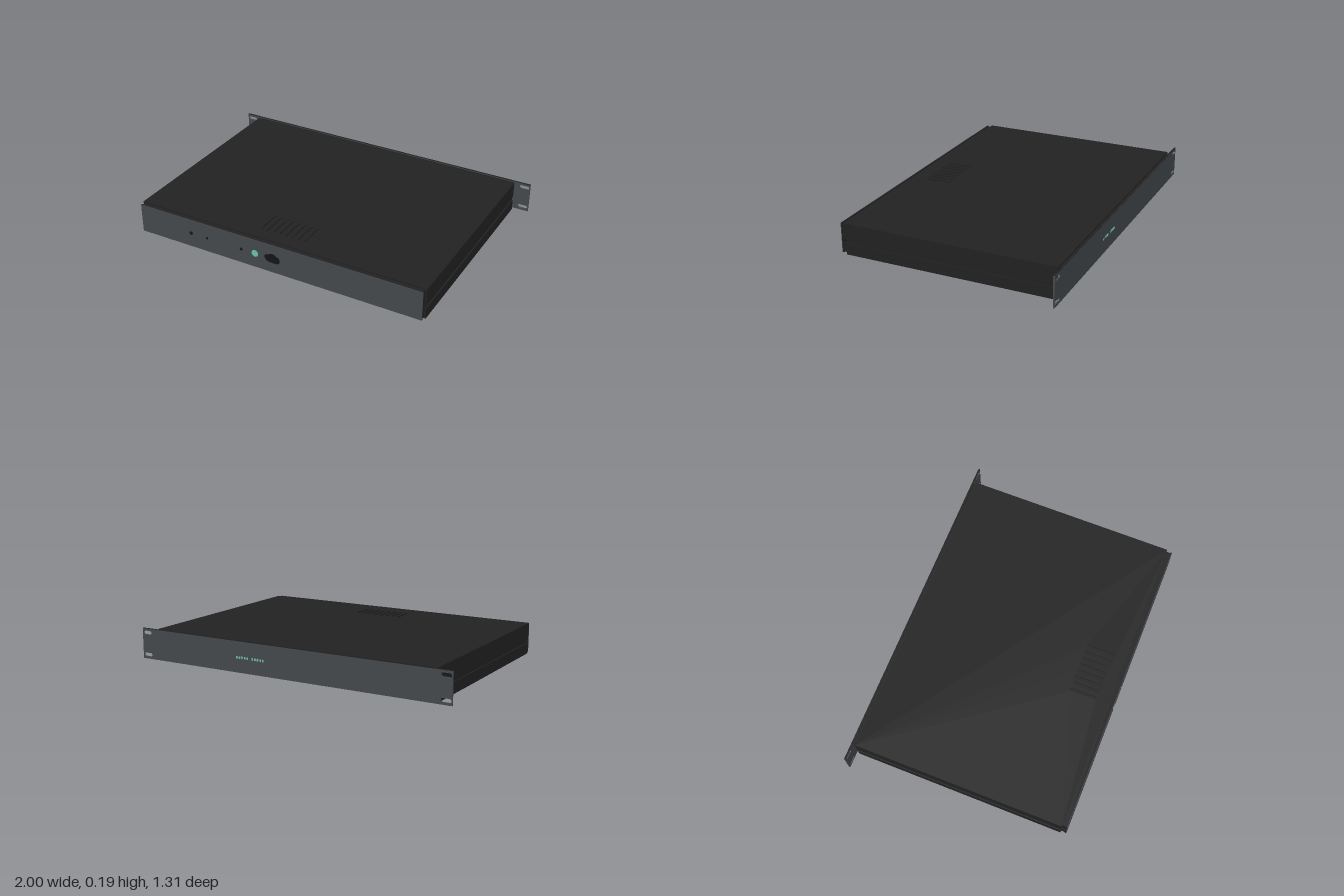
import * as THREE from 'three';

const paint = (name, color) => {
  const m = new THREE.MeshStandardMaterial({ color });
  m.name = name;
  return m;
};

// Rounded slot outline, centred on (cx, cy)
function slot(cx, cy, w, h, P = THREE.Path) {
  const r = Math.min(w, h) / 2, p = new P();
  if (w >= h) {
    const d = w / 2 - r;
    p.absarc(cx + d, cy, r, -Math.PI / 2, Math.PI / 2);
    p.absarc(cx - d, cy, r, Math.PI / 2, Math.PI * 1.5);
  } else {
    const d = h / 2 - r;
    p.absarc(cx, cy + d, r, 0, Math.PI);
    p.absarc(cx, cy - d, r, Math.PI, Math.PI * 2);
  }
  p.closePath();
  return p;
}

function rect(x0, y0, x1, y1) {
  return new THREE.Shape([[x0, y0], [x1, y0], [x1, y1], [x0, y1]].map(p => new THREE.Vector2(...p)));
}

const extrude = (shape, depth) =>
  new THREE.ExtrudeGeometry(shape, { depth, bevelEnabled: false, curveSegments: 8 });

export function createModel() {
  const black = paint('black steel', 0x222222);
  const grey = paint('grey panel', 0x464a4e);
  const teal = paint('teal print', 0x6cc4ae);
  const dark = paint('dark recess', 0x151515);

  const root = new THREE.Group();
  root.name = 'rackCase';
  const add = (name, geo, mat, x = 0, y = 0, z = 0) => {
    const mesh = new THREE.Mesh(geo, mat);
    mesh.name = name;
    mesh.position.set(x, y, z);
    root.add(mesh);
    return mesh;
  };
  // Box given by its limits
  const box = (name, mat, x0, x1, y0, y1, z0, z1) =>
    add(name, new THREE.BoxGeometry(x1 - x0, y1 - y0, z1 - z0), mat,
      (x0 + x1) / 2, (y0 + y1) / 2, (z0 + z1) / 2);

  // Lid with a bank of vent slots near the front
  const lid = rect(-0.905, -0.632, 0.905, 0.622);
  for (let i = 0; i < 8; i++) lid.holes.push(slot(-0.14 + i * 0.04, 0.465, 0.02, 0.16));
  add('lid', extrude(lid, 0.008).rotateX(Math.PI / 2), black, 0, 0.185, 0);

  // Floor
  box('floor', black, -0.905, 0.905, 0, 0.008, -0.632, 0.622);

  for (const s of [-1, 1]) {
    const side = (name, xa, xb, y0, y1, z0, z1) =>
      box(name, black, Math.min(s * xa, s * xb), Math.max(s * xa, s * xb), y0, y1, z0, z1);
    // Overlapping skirts of the lid and the base, with a groove between
    side('lidSkirt', 0.896, 0.905, 0.088, 0.177, -0.632, 0.622);
    side('baseSkirt', 0.896, 0.905, 0.008, 0.065, -0.632, 0.622);
    side('innerSideWall', 0.89, 0.897, 0.008, 0.177, -0.632, 0.622);
    // Folded flanges that carry the front and back panels
    for (const [z0, z1] of [[0.6, 0.646], [-0.646, -0.6]]) {
      side('cornerFlangeUpper', 0.885, 0.895, 0.086, 0.176, z0, z1);
      side('cornerFlangeLower', 0.885, 0.895, 0.012, 0.066, z0, z1);
    }
  }
  for (const [z0, z1] of [[0.6, 0.646], [-0.646, -0.6]]) {
    box('upperFlange', black, -0.895, 0.895, 0.17, 0.177, z0, z1);
    box('lowerFlange', black, -0.895, 0.895, 0.009, 0.016, z0, z1);
  }

  // Front panel with a power inlet opening
  const inlet = () => {
    const p = new THREE.Path();
    p.moveTo(-0.028, 0.062);
    p.lineTo(0.012, 0.062);
    p.quadraticCurveTo(0.039, 0.066, 0.04, 0.09);
    p.quadraticCurveTo(0.039, 0.116, 0.018, 0.113);
    p.quadraticCurveTo(0.008, 0.126, -0.008, 0.125);
    p.quadraticCurveTo(-0.026, 0.126, -0.034, 0.113);
    p.quadraticCurveTo(-0.059, 0.116, -0.06, 0.09);
    p.quadraticCurveTo(-0.055, 0.064, -0.028, 0.062);
    return p;
  };
  for (const [name, mat, z, depth] of [
    ['frontPanelBacking', black, 0.645, 0.007], ['frontPanelFace', grey, 0.652, 0.003]]) {
    const shape = rect(-0.898, 0.005, 0.898, 0.182);
    shape.holes.push(inlet());
    add(name, extrude(shape, depth), mat, 0, 0, z);
  }
  box('inletRecess', dark, -0.075, 0.055, 0.045, 0.14, 0.615, 0.63);

  // Small front fittings and a plain round badge
  for (const [x, r] of [[-0.55, 0.012], [-0.44, 0.008], [-0.21, 0.01]]) {
    add('frontPort', new THREE.CylinderGeometry(r, r, 0.002, 8).rotateX(Math.PI / 2), dark, x, 0.094, 0.6555);
  }
  add('roundBadge', new THREE.CylinderGeometry(0.021, 0.021, 0.002, 20).rotateX(Math.PI / 2),
    teal, -0.12, 0.094, 0.6555);

  // Back panel with slotted mounting ears
  const back = rect(-1, 0.005, 1, 0.185);
  for (const x of [-0.965, 0.965]) {
    for (const y of [0.029, 0.161]) back.holes.push(slot(x, y, 0.06, 0.022));
  }
  add('backPanel', extrude(back, 0.009), grey, 0, 0, -0.655);
  // Black inner liner and top edge of the back panel
  box('backPanelLiner', black, -0.895, 0.895, 0.008, 0.18, -0.647, -0.643);
  box('backPanelTopEdge', black, -1, 1, 0.185, 0.187, -0.655, -0.646);

  // Row of plain printed marks on the back panel
  for (let i = 0; i < 11; i++) {
    if (i === 5) continue;
    box('printedMark', teal, 0.313 - i * 0.0175, 0.323 - i * 0.0175, 0.086, 0.1, -0.6565, -0.655);
  }

  return root;
}
